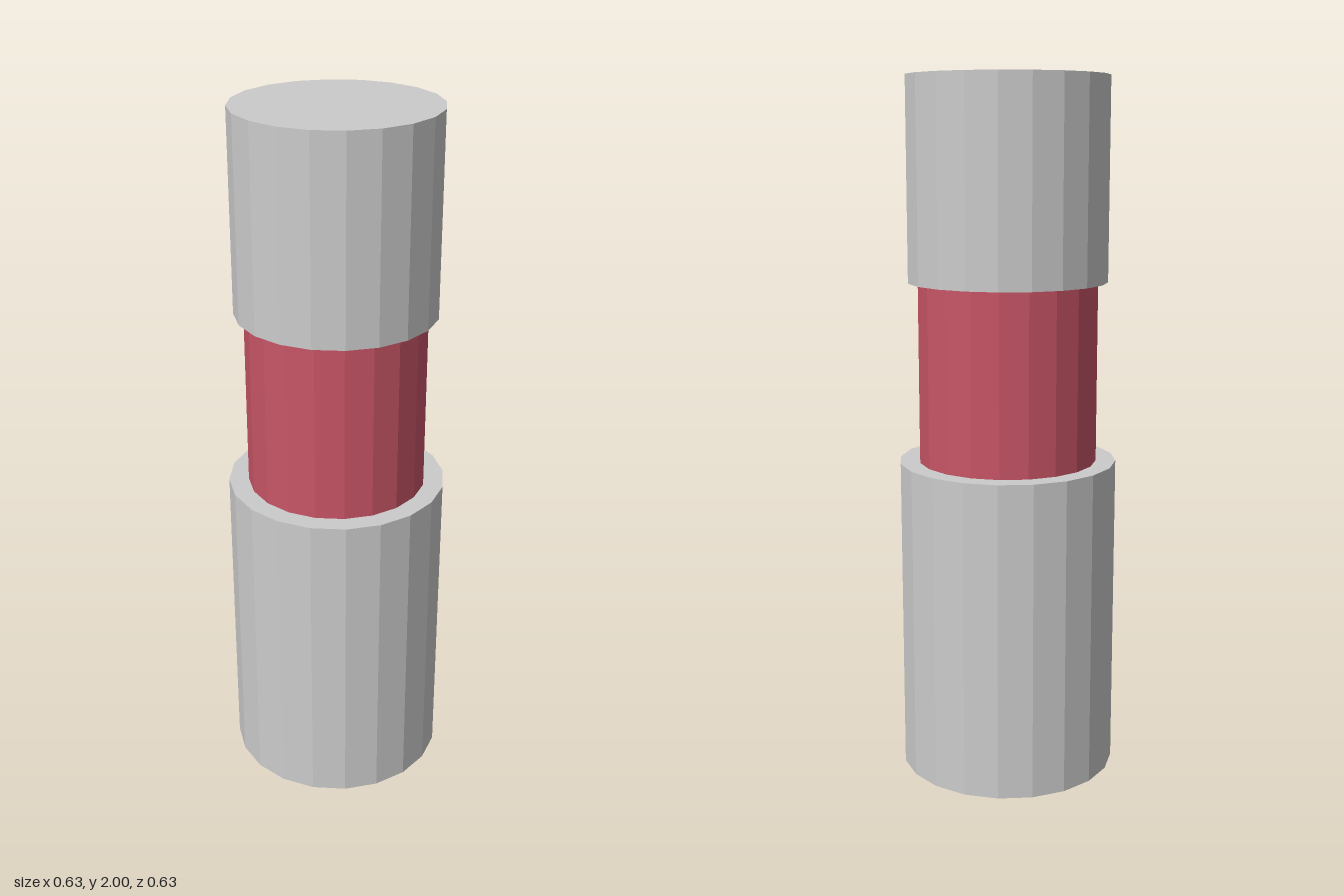
import * as THREE from 'three';

const SIDES = 20;

// Upright faceted cylinder spanning bottom..top
function drum(name, radius, bottom, top, color) {
  const geometry = new THREE.CylinderGeometry(radius, radius, top - bottom, SIDES);
  const material = new THREE.MeshStandardMaterial({ color, flatShading: true });
  const mesh = new THREE.Mesh(geometry, material);
  mesh.name = name;
  mesh.position.y = (bottom + top) / 2;
  return mesh;
}

export function createModel() {
  const model = new THREE.Group();
  model.name = 'bandedCylinder';
  model.add(
    drum('base', 0.314, 0, 0.917, 0xcccccc),    // wide lower body
    drum('band', 0.257, 0.917, 1.433, 0xc85566), // narrow red middle
    drum('cap', 0.285, 1.433, 2, 0xcccccc)       // top cap
  );
  return model;
}
